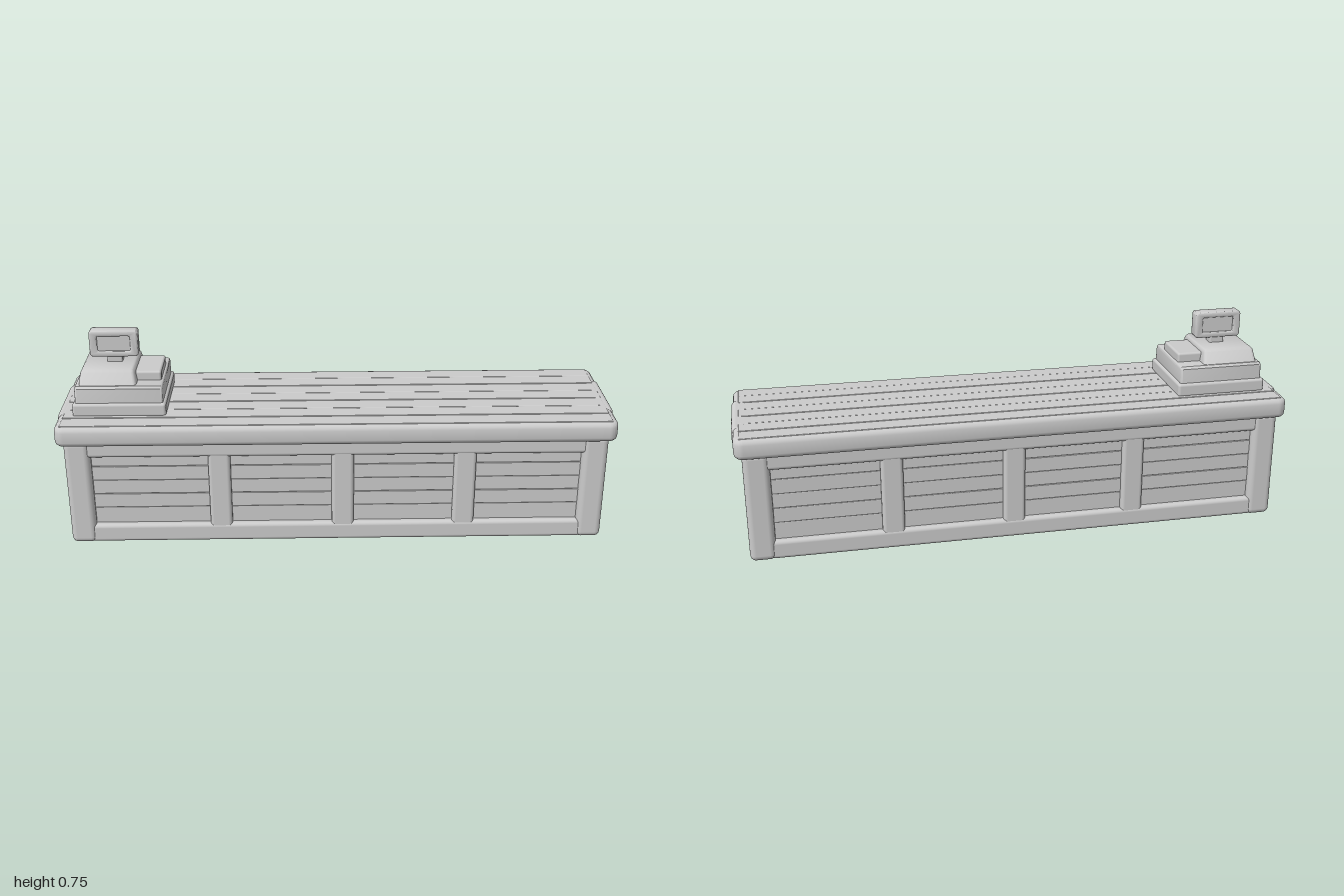
import * as THREE from 'three';
import { RoundedBoxGeometry } from 'three/addons/geometries/RoundedBoxGeometry.js';
import { toCreasedNormals } from 'three/addons/utils/BufferGeometryUtils.js';

const material = new THREE.MeshStandardMaterial({ color: 0xcccccc });

function add(parent, name, geometry) {
  const mesh = new THREE.Mesh(geometry, material);
  mesh.name = name;
  parent.add(mesh);
  return mesh;
}

// Rounded block given by its extents on each axis
function block(parent, name, [x0, x1], [y0, y1], [z0, z1], radius = 0.01) {
  const geometry = new RoundedBoxGeometry(x1 - x0, y1 - y0, z1 - z0, 3, radius);
  const mesh = add(parent, name, geometry);
  mesh.position.set((x0 + x1) / 2, (y0 + y1) / 2, (z0 + z1) / 2);
  return mesh;
}

// Bevelled extrusion whose outer size equals the outline and the depth
function extrude(shape, depth, bevel) {
  const geometry = new THREE.ExtrudeGeometry(shape, {
    depth: depth - 2 * bevel, bevelThickness: bevel, bevelSize: bevel,
    bevelOffset: -bevel, bevelSegments: 3, curveSegments: 6,
  });
  geometry.translate(0, 0, bevel);
  return toCreasedNormals(geometry, 0.7);
}

function roundedRect(w, h, r, Type = THREE.Shape) {
  const s = new Type();
  const x = w / 2, y = h / 2;
  s.moveTo(-x + r, -y);
  s.lineTo(x - r, -y);
  s.absarc(x - r, -y + r, r, -Math.PI / 2, 0);
  s.absarc(x - r, y - r, r, 0, Math.PI / 2);
  s.absarc(-x + r, y - r, r, Math.PI / 2, Math.PI);
  s.absarc(-x + r, -y + r, r, Math.PI, Math.PI * 1.5);
  return s;
}

// Symmetric z-y profile swept along x
function prismX(parent, name, profile, x0, x1, bevel) {
  const right = profile.map(([z, y]) => new THREE.Vector2(z, y));
  const left = profile.map(([z, y]) => new THREE.Vector2(-z, y)).reverse();
  const geometry = extrude(new THREE.Shape([...right, ...left]), x1 - x0, bevel);
  geometry.rotateY(Math.PI / 2).translate(x0, 0, 0);
  return add(parent, name, geometry);
}

function buildCabinet() {
  const cabinet = new THREE.Group();
  cabinet.name = 'cabinet';
  block(cabinet, 'core', [-0.93, 0.93], [0.015, 0.41], [-0.2, 0.2], 0.005);

  const boardEdges = [0.06, 0.135, 0.19, 0.245, 0.3, 0.355];
  const bays = [[-0.89, -0.455], [-0.39, -0.01], [0.05, 0.43], [0.49, 0.89]];

  for (const s of [-1, 1]) {
    const span = (a, b) => (s > 0 ? [a, b] : [-b, -a]);

    // Corner posts
    for (const t of [-1, 1]) {
      block(cabinet, 'cornerPost', span(0.878, 0.97), [0, 0.41],
        t > 0 ? [0.14, 0.237] : [-0.237, -0.14], 0.022);
    }

    // Long side: rails, stiles and recessed boards
    block(cabinet, 'longBottomRail', [-0.9, 0.9], [0.002, 0.072], span(0.15, 0.232), 0.014);
    block(cabinet, 'longTopRail', [-0.9, 0.9], [0.343, 0.412], span(0.15, 0.232), 0.014);
    for (const x of [-0.422, 0.02, 0.46]) {
      block(cabinet, 'stile', [x - 0.04, x + 0.04], [0.03, 0.39], span(0.16, 0.23), 0.014);
    }
    for (const [x0, x1] of bays) {
      for (let i = 0; i < 5; i++) {
        const out = 0.209 + (i % 2) * 0.002;
        block(cabinet, 'longPanelBoard', [x0, x1], [boardEdges[i], boardEdges[i + 1]],
          span(0.18, out), 0.003);
      }
    }

    // Short side: rails and recessed boards
    block(cabinet, 'endBottomRail', span(0.88, 0.962), [0.002, 0.072], [-0.16, 0.16], 0.014);
    block(cabinet, 'endTopRail', span(0.88, 0.962), [0.341, 0.412], [-0.16, 0.16], 0.014);
    for (let i = 0; i < 5; i++) {
      const out = 0.939 + (i % 2) * 0.002;
      block(cabinet, 'endPanelBoard', span(0.9, out), [boardEdges[i], boardEdges[i + 1]],
        [-0.15, 0.15], 0.003);
    }
  }
  return cabinet;
}

function buildCounterTop() {
  const top = new THREE.Group();
  top.name = 'counterTop';
  const slab = extrude(roundedRect(1.99, 0.522, 0.035), 0.073, 0.018);
  slab.rotateX(-Math.PI / 2).translate(0, 0.399, 0);
  add(top, 'slab', slab);

  // Long planks with fine gaps
  const count = 7, width = 0.486 / count;
  for (let i = 0; i < count; i++) {
    const z = -0.243 + i * width;
    block(top, 'plank', [-0.975, 0.975], [0.455, 0.4745 + (i % 2) * 0.001],
      [z + 0.001, z + width - 0.001], 0.003);
  }

  // End boards between the corners
  for (const x of [-0.97, 0.97]) {
    block(top, 'endBoard', [x - 0.03, x + 0.03], [0.398, 0.474], [-0.14, 0.14], 0.018);
  }
  return top;
}

function buildRegister() {
  const register = new THREE.Group();
  register.name = 'cashRegister';
  block(register, 'drawerBase', [-0.94, -0.608], [0.47, 0.52], [-0.158, 0.158], 0.01);
  prismX(register, 'keyDeck', [[0.148, 0.51], [0.143, 0.572], [0.135, 0.58]],
    -0.93, -0.618, 0.008);
  prismX(register, 'housing', [[0.147, 0.515], [0.143, 0.572], [0.127, 0.582],
    [0.108, 0.622], [0.1, 0.628]], -0.925, -0.703, 0.012)
    .geometry.computeBoundingBox();

  // Lean the housing's end faces inward toward the top
  const housing = register.getObjectByName('housing').geometry;
  const p = housing.attributes.position;
  for (let i = 0; i < p.count; i++) {
    const lean = Math.max(0, p.getY(i) - 0.52) * 0.15;
    p.setX(i, p.getX(i) + (p.getX(i) < -0.81 ? lean : -lean));
  }
  housing.deleteAttribute('normal');
  housing.computeVertexNormals();
  register.getObjectByName('housing').geometry = toCreasedNormals(housing, 0.7);

  block(register, 'keypad', [-0.73, -0.627], [0.57, 0.613], [-0.08, 0.08], 0.008);
  block(register, 'displayNeck', [-0.825, -0.77], [0.615, 0.66], [-0.02, 0.02], 0.006);

  // Display with an inset screen on both faces
  const display = new THREE.Group();
  display.name = 'display';
  display.position.set(-0.798, 0.697, 0);
  const outline = roundedRect(0.174, 0.098, 0.012);
  outline.holes.push(roundedRect(0.118, 0.056, 0.006, THREE.Path));
  add(display, 'displayFrame', extrude(outline, 0.049, 0.006).translate(0, 0, -0.0245));
  add(display, 'screen', new THREE.BoxGeometry(0.14, 0.075, 0.034));
  register.add(display);
  return register;
}

export function createModel() {
  const model = new THREE.Group();
  model.name = 'shopCounter';
  model.add(buildCabinet(), buildCounterTop(), buildRegister());
  return model;
}
